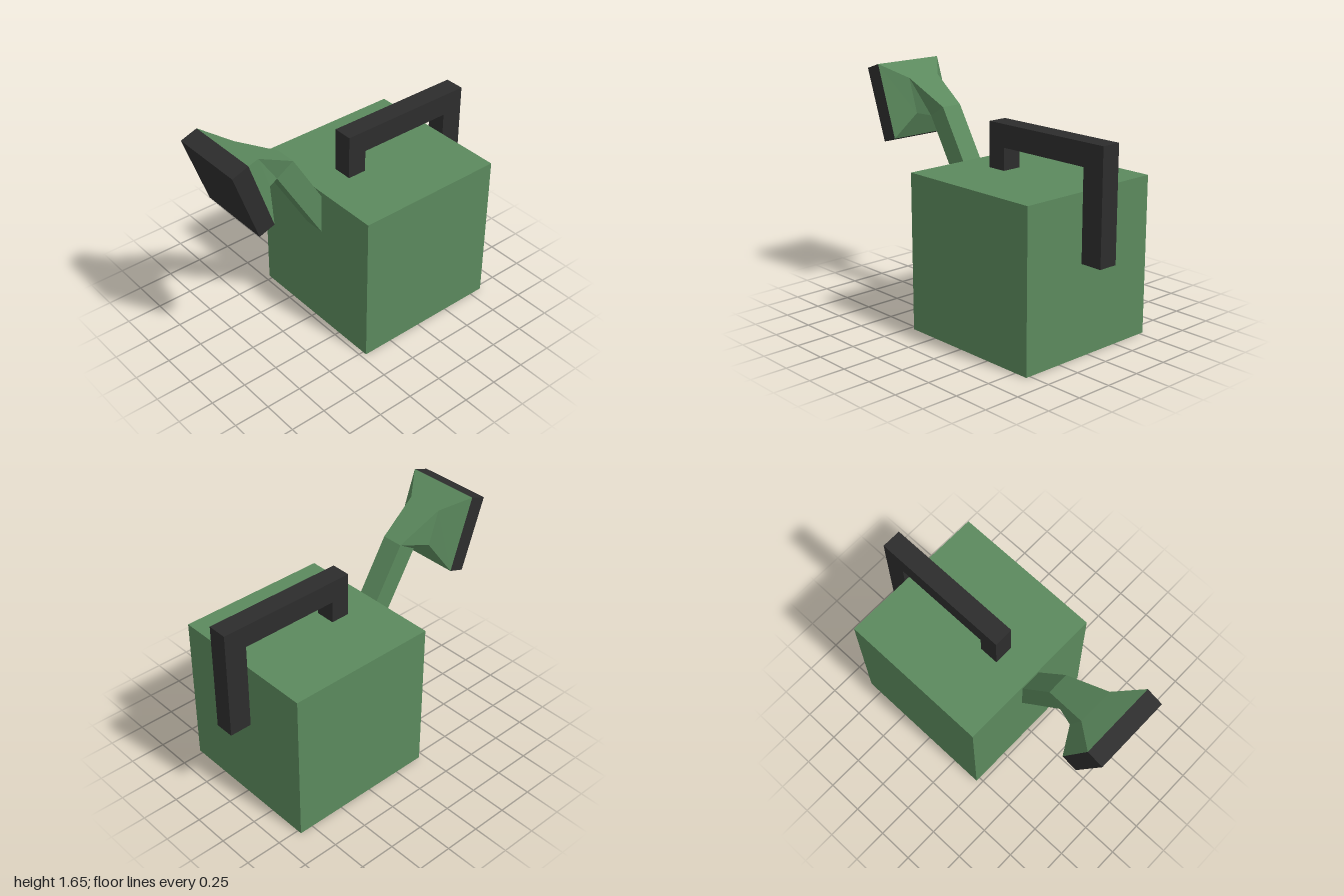
import * as THREE from 'three';

const green = new THREE.MeshStandardMaterial({ color: 0x5b895d });
green.name = 'green paint';
const black = new THREE.MeshStandardMaterial({ color: 0x2d2d2d });
black.name = 'black trim';

// Loft of rectangular sections running toward -x: [topX, topY, bottomX, bottomY, halfWidth]
function loft(sections, capEnd) {
  const rings = sections.map(([tx, ty, bx, by, w]) => [
    [tx, ty, w], [tx, ty, -w], [bx, by, -w], [bx, by, w],
  ]);
  const pos = [];
  const quad = (a, b, c, d) => pos.push(...a, ...b, ...c, ...a, ...c, ...d);
  for (let i = 0; i < rings.length - 1; i++) {
    const a = rings[i], b = rings[i + 1];
    for (let j = 0; j < 4; j++) {
      const k = (j + 1) % 4;
      quad(a[j], a[k], b[k], b[j]);
    }
  }
  if (capEnd) quad(...rings[rings.length - 1]);
  const geo = new THREE.BufferGeometry();
  geo.setAttribute('position', new THREE.Float32BufferAttribute(pos, 3));
  geo.computeVertexNormals();
  return geo;
}

export function createModel() {
  const group = new THREE.Group();
  const add = (name, geo, mat) => {
    const mesh = new THREE.Mesh(geo, mat);
    mesh.name = name;
    group.add(mesh);
    return mesh;
  };

  // Boxy tank
  add('body', new THREE.BoxGeometry(1.06, 1.065, 1.06), green).position.set(0.315, 0.5325, 0);

  // Spout: slanted neck, elbow, then a flaring head
  const rim = [-0.885, 1.65, -0.72, 1.16, 0.26];
  add('spout', loft([
    [-0.215, 1.035, -0.215, 0.75, 0.075],
    [-0.43, 1.395, -0.555, 1.32, 0.075],
    [-0.72, 1.56, -0.645, 1.33, 0.124],
    rim,
  ], false), green);

  // Sprinkler plate closing the head
  add('sprinklerPlate', loft([rim, [-1, 1.61, -0.832, 1.122, 0.26]], true), black);

  // Handle: short leg on the lid, long leg down the side
  const outline = [
    [0.02, 1.065], [0.155, 1.065], [0.155, 1.217], [0.845, 1.217],
    [0.845, 0.61], [1, 0.61], [1, 1.37], [0.02, 1.37],
  ].map(([x, y]) => new THREE.Vector2(x, y));
  const handle = new THREE.ExtrudeGeometry(new THREE.Shape(outline), { depth: 0.136, bevelEnabled: false });
  add('handle', handle, black).position.z = -0.068;

  return group;
}
